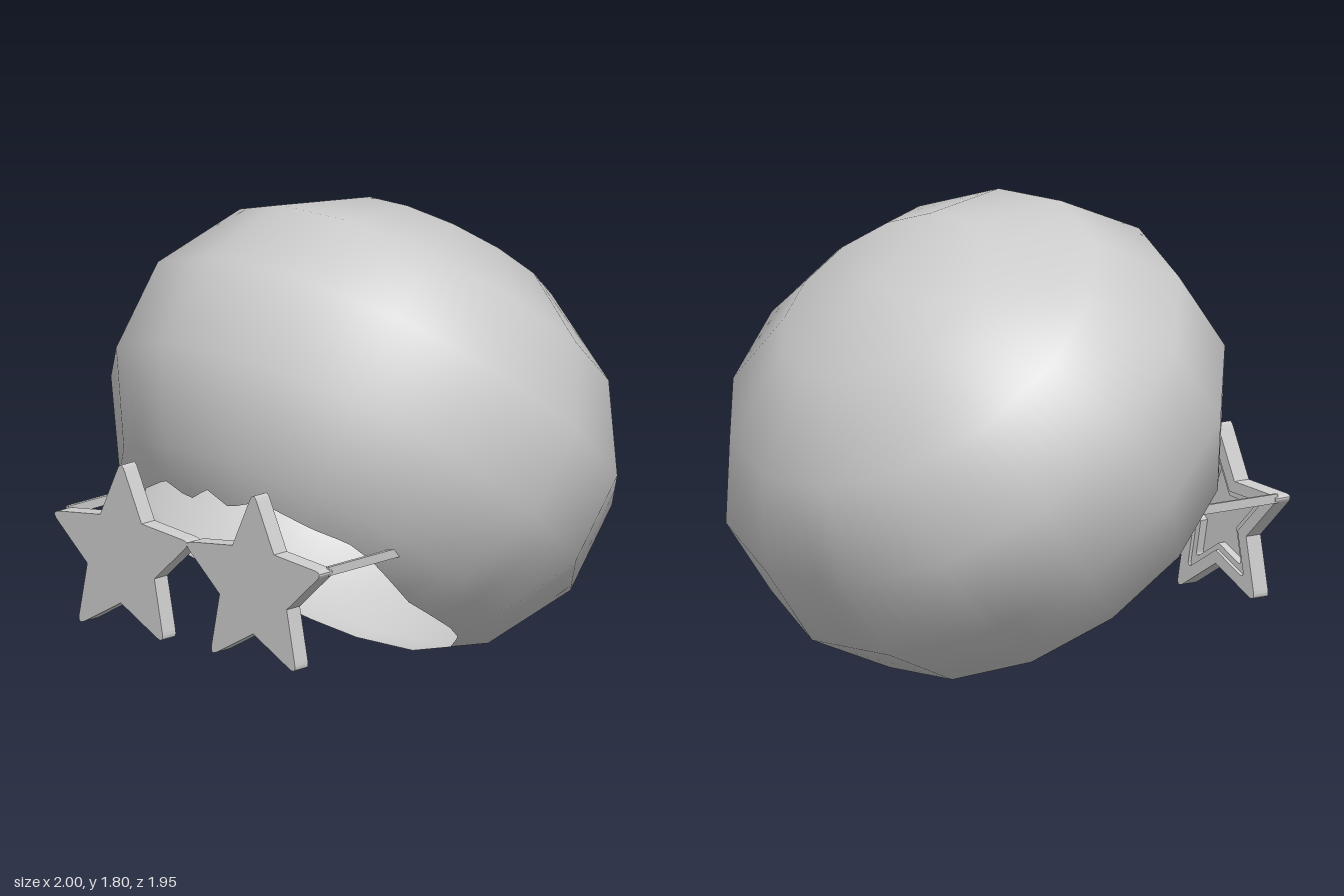
import * as THREE from 'three';

const SIDES = 14, STEP = (2 * Math.PI) / SIDES;
const RADIUS = 1.026, HEIGHT = 0.846; // squashed sphere, short axis is its pole
const COLS = 84;

const mat = new THREE.MeshStandardMaterial({ color: 0xcccccc });
const shellMat = new THREE.MeshStandardMaterial({ color: 0xcccccc, side: THREE.DoubleSide });

// Wavy rim height by angle (degrees) away from the front
const RIM = [[0, -0.62], [10, -0.655], [22, -0.61], [40, -0.625], [55, -0.61], [75, -0.635],
  [90, -0.655], [115, -0.62], [130, -0.597], [150, -0.62], [180, -0.62]];

function rimHeight(angle) {
  const d = Math.abs(THREE.MathUtils.radToDeg(angle));
  let i = 1;
  while (i < RIM.length - 1 && RIM[i][0] < d) i++;
  const [a, ya] = RIM[i - 1], [b, yb] = RIM[i];
  return THREE.MathUtils.mapLinear(Math.min(d, 180), a, b, ya, yb);
}

// Low-sided smooth shell, open below the rim
function hairShell() {
  const pos = [], nor = [], idx = [];
  const lat = [3.5, 2.5, 1.5, 0.5, -0.5, -1.5].map((k) => k * STEP);
  const n = new THREE.Vector3();
  const rows = lat.length + 1;
  for (let r = 0; r < rows; r++) {
    for (let c = 0; c <= COLS; c++) {
      const a = -Math.PI + (c / COLS) * 2 * Math.PI;
      let y, rad;
      if (r < lat.length) {
        y = HEIGHT * Math.sin(lat[r]);
        rad = RADIUS * Math.cos(lat[r]);
      } else {
        const y0 = -HEIGHT * Math.sin(1.5 * STEP), y1 = -HEIGHT * Math.sin(2.5 * STEP);
        y = rimHeight(a);
        rad = RADIUS * THREE.MathUtils.mapLinear(y, y0, y1, Math.cos(1.5 * STEP), Math.cos(2.5 * STEP));
      }
      const local = a - Math.round(a / STEP) * STEP; // flat sides between corners
      const q = (rad * Math.cos(STEP / 2)) / Math.cos(local);
      const x = q * Math.sin(a), z = q * Math.cos(a);
      pos.push(x, y, z);
      n.set(x / RADIUS ** 2, y / HEIGHT ** 2, z / RADIUS ** 2).normalize();
      nor.push(n.x, n.y, n.z);
      if (r < rows - 1 && c < COLS) {
        const i = r * (COLS + 1) + c, j = i + COLS + 1;
        if (r > 0) idx.push(i, j + 1, i + 1);
        idx.push(i, j, j + 1);
      }
    }
  }
  const g = new THREE.BufferGeometry();
  g.setAttribute('position', new THREE.Float32BufferAttribute(pos, 3));
  g.setAttribute('normal', new THREE.Float32BufferAttribute(nor, 3));
  g.setIndex(idx);
  return g;
}

// Five-pointed star with rounded tips
function starPath(path, scale) {
  const at = (r, k) => new THREE.Vector2(0, r * scale).rotateAround(new THREE.Vector2(), (k * Math.PI) / 5);
  for (let k = 0; k < 10; k += 2) {
    const tip = at(0.384, k), before = at(0.184, k - 1), after = at(0.184, k + 1);
    const p = tip.clone().lerp(before, 0.18), q = tip.clone().lerp(after, 0.18);
    if (k === 0) path.moveTo(p.x, p.y);
    else path.lineTo(p.x, p.y);
    path.quadraticCurveTo(tip.x, tip.y, q.x, q.y);
    path.lineTo(after.x, after.y);
  }
  path.closePath();
  return path;
}

function starLayer(z0, z1, hole) {
  const shape = starPath(new THREE.Shape(), 1);
  if (hole) shape.holes.push(starPath(new THREE.Path(), hole));
  const g = new THREE.ExtrudeGeometry(shape, { depth: z1 - z0, bevelEnabled: false, curveSegments: 6 });
  return g.translate(0, 0, z0);
}

export function createModel() {
  const model = new THREE.Group();
  const add = (parent, name, geometry, material = mat) => {
    const mesh = new THREE.Mesh(geometry, material);
    mesh.name = name;
    parent.add(mesh);
    return mesh;
  };

  const shell = add(model, 'hairShell', hairShell(), shellMat);
  shell.position.set(0, 0.903, -0.03);
  shell.rotation.x = THREE.MathUtils.degToRad(-38.7);

  // Star glasses: solid front, stepped recess at the back, thin side arms
  const glasses = new THREE.Group();
  glasses.name = 'starGlasses';
  for (const [side, s] of [['left', 1], ['right', -1]]) {
    const star = new THREE.Group();
    star.name = side + 'Star';
    star.position.set(s * 0.345, 0.518, 0);
    add(star, 'lensFront', starLayer(0.95, 0.975));
    add(star, 'lensRecess', starLayer(0.915, 0.95, 0.58));
    add(star, 'lensRim', starLayer(0.9, 0.915, 0.72));
    const arm = add(glasses, side + 'Arm', new THREE.BoxGeometry(0.014, 0.036, 0.4));
    arm.position.set(s * 0.679, 0.63, 0.715);
    glasses.add(star);
  }
  model.add(glasses);
  return model;
}
